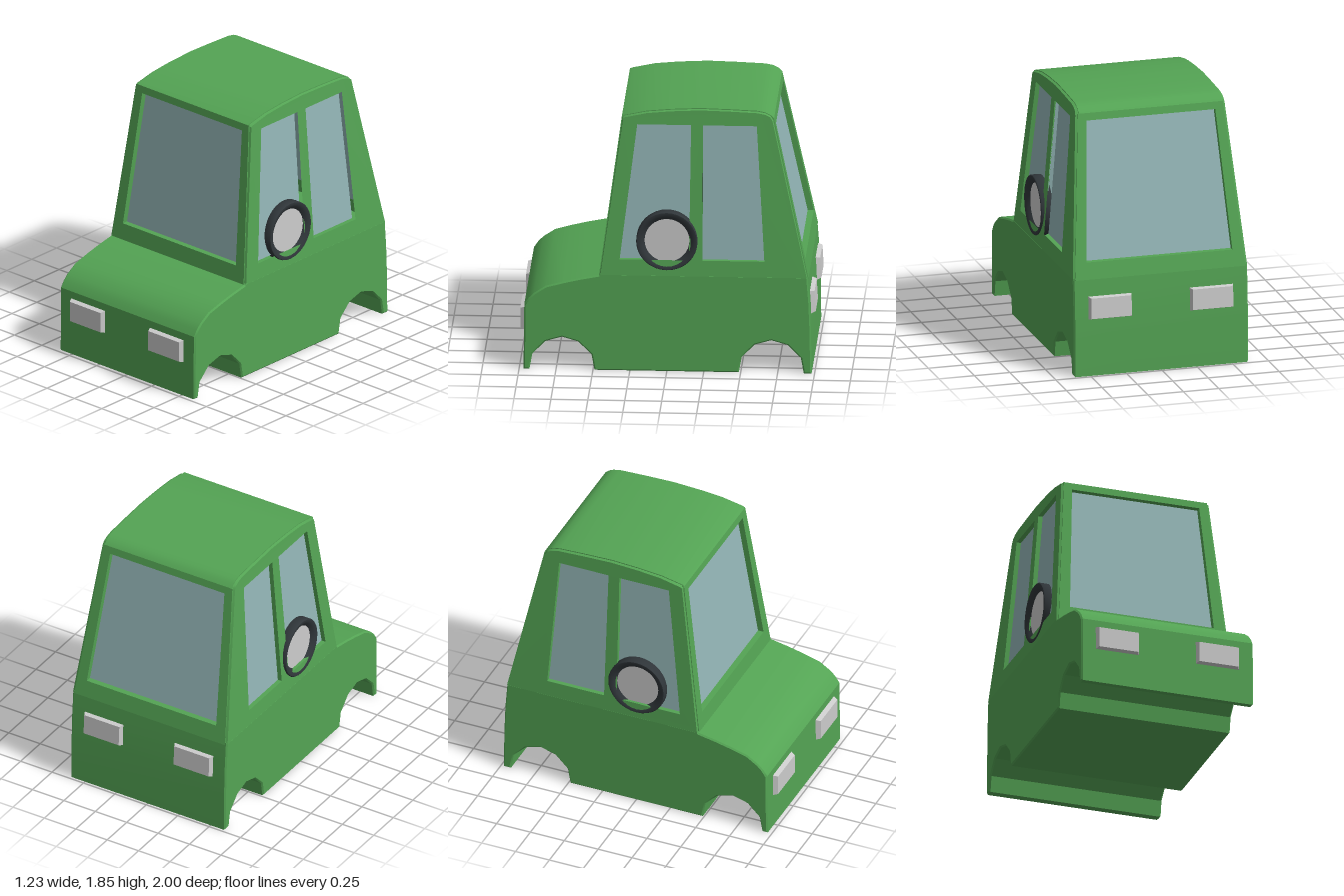
import * as THREE from 'three';
import { toCreasedNormals } from 'three/addons/utils/BufferGeometryUtils.js';

const mat = (name, color) => {
  const m = new THREE.MeshStandardMaterial({ color });
  m.name = name;
  return m;
};

// Slopes of the cabin: half width, windscreen and tailgate as functions of height
const SILL = 0.675;
const halfWidth = (y) => 0.615 - Math.max(0, y - SILL) * 0.08;
const frontZ = (y) => 0.46 - (y - SILL) * 0.136;
const rearZ = (y) => -0.958 + (y - SILL) * 0.215;

const vec = (pts) => pts.map(([x, y]) => new THREE.Vector2(x, y));

// Extrudes an outline with holes, then places every vertex with a rule
function extrude(pts, holes, depth, place, options = {}) {
  const shape = new THREE.Shape(vec(pts));
  holes.forEach((h) => shape.holes.push(new THREE.Path(vec(h))));
  const geo = new THREE.ExtrudeGeometry(shape, { depth, bevelEnabled: false, ...options });
  geo.deleteAttribute('uv');
  const p = geo.attributes.position;
  for (let i = 0; i < p.count; i++) p.setXYZ(i, ...place(p.getX(i), p.getY(i), p.getZ(i)));
  return toCreasedNormals(geo, 0.5);
}

export function createModel() {
  const green = mat('body green', 0x54a454);
  const blue = mat('window glass', 0x93b5b6);
  const grey = mat('light grey', 0xcccccc);
  const black = mat('tyre black', 0x30363a);

  const car = new THREE.Group();
  car.name = 'car';
  const add = (name, geo, material, parent = car) => {
    const m = new THREE.Mesh(geo, material);
    m.name = name;
    parent.add(m);
    return m;
  };
  // Profiles are given as [z, y] and run across the width
  const across = (pts, half, bevel) => {
    const depth = 2 * (half - bevel);
    return extrude(pts.map(([z, y]) => [-z, y]), [], depth,
      (u, v, w) => [w - depth / 2, v, -u],
      bevel ? { bevelEnabled: true, bevelThickness: bevel, bevelSize: bevel, bevelOffset: -bevel, bevelSegments: 1 } : {});
  };

  // Lower body with bonnet and wheel arches
  const arch = [[-0.22, 0], [-0.2, 0.11], [-0.11, 0.2], [0, 0.232], [0.11, 0.2], [0.2, 0.11], [0.22, 0]];
  const archAt = (c) => arch.map(([z, y]) => [c + z, y]);
  add('lowerBody', across([
    [-0.98, 0], ...archAt(-0.707), ...archAt(0.71), [0.97, 0],
    [0.965, 0.46], [0.935, 0.505], [0.9, 0.54], [0.82, 0.593], [0.7, 0.626], [0.59, 0.652], [0.46, 0.677],
    [0.45, 0.69], [-0.953, 0.69], [-0.968, 0.5], [-0.976, 0.3],
  ], 0.615, 0.01), green);

  // Roof
  const roofLine = [[frontZ(1.78), 1.78], [0.29, 1.788], [0.14, 1.82], [-0.02, 1.835], [-0.22, 1.845],
    [-0.42, 1.84], [-0.61, 1.832], [-0.66, 1.822], [-0.695, 1.805], [rearZ(1.78), 1.78]];
  add('roof', across([[0.29, 1.74], ...roofLine, [-0.7, 1.74]], 0.505, 0), green);

  // Front and rear cabin frames with recessed glass
  const endFrame = [[-1, SILL], [1, SILL], [1, 1.78], [-1, 1.78]]
    .map(([s, y]) => [s * (halfWidth(y) - 0.015), y]);
  const endWindow = [[-0.515, 0.79], [0.515, 0.79], [0.455, 1.73], [-0.455, 1.73]];
  const deep = 0.045;
  const placeFront = (u, v, w) => [u, v, frontZ(v) - deep + w];
  const placeRear = (u, v, w) => [-u, v, rearZ(v) + deep - w];
  for (const [name, place] of [['windscreen', placeFront], ['rearWindow', placeRear]]) {
    add(name + 'Frame', extrude(endFrame, [endWindow], deep, place), green);
    add(name, extrude(endWindow, [], 0.004, place), blue);
  }

  // Side panels with two recessed windows and a chamfered outer edge
  const sideOutline = [[rearZ(SILL), SILL], [frontZ(SILL), SILL], ...roofLine];
  const sideWindows = [
    [[-0.15, 0.79], [0.32, 0.79], [0.205, 1.73], [-0.16, 1.73]],
    [[-0.66, 0.79], [-0.24, 0.79], [-0.24, 1.73], [-0.605, 1.73]],
  ];
  const thick = 0.035;
  for (const s of [1, -1]) {
    const side = s > 0 ? 'left' : 'right';
    const flip = (pts) => pts.map(([z, y]) => [-s * z, y]);
    const place = (u, v, w) => {
      let z = -s * u, y = v;
      const x = s * (halfWidth(v) - thick + w);
      if (w > thick - 0.001) {
        if (z > frontZ(v) - 0.005) z -= 0.01;
        if (z < rearZ(v) + 0.005) z += 0.01;
        if (v > 1.76) y -= 0.012;
      }
      return [x, y, z];
    };
    add(side + 'CabinSide', extrude(flip(sideOutline), sideWindows.map(flip), thick, place), green);
    sideWindows.forEach((win, i) =>
      add(side + (i ? 'RearSideWindow' : 'FrontSideWindow'), extrude(flip(win), [], 0.004, place), blue));

    // Wheel set into the side, with a dished tyre and a flat hub
    const wheel = new THREE.Group();
    wheel.name = side + 'Wheel';
    const tyre = new THREE.LatheGeometry(vec([
      [0.15, 0.53], [0.2, 0.53], [0.208, 0.54], [0.208, 0.608], [0.203, 0.614],
      [0.19, 0.614], [0.17, 0.604], [0.15, 0.584],
    ]), 32);
    add('tyre', toCreasedNormals(tyre.toNonIndexed(), 0.8), black, wheel);
    add('hub', new THREE.CylinderGeometry(0.152, 0.152, 0.03, 32), grey, wheel).position.y = 0.571;
    wheel.rotation.z = -s * Math.PI / 2;
    wheel.position.y = 0.925;
    car.add(wheel);

    // Headlight and tail light: boxes that narrow outwards
    for (const [name, dir, y, tilt] of [['Headlight', 1, 0.327, 0], ['TailLight', -1, 0.478, 0.06]]) {
      const geo = new THREE.BoxGeometry(0.325, 0.172, 0.05);
      const p = geo.attributes.position;
      for (let i = 0; i < p.count; i++) {
        if (p.getZ(i) > 0) p.setXY(i, p.getX(i) * 0.86, p.getY(i) * 0.83);
      }
      geo.computeVertexNormals();
      const lamp = add(side + name, geo, grey);
      lamp.position.set(s * 0.358, y, dir * 0.973);
      lamp.rotation.set(dir < 0 ? tilt : 0, dir < 0 ? Math.PI : 0, 0);
    }
  }
  return car;
}
